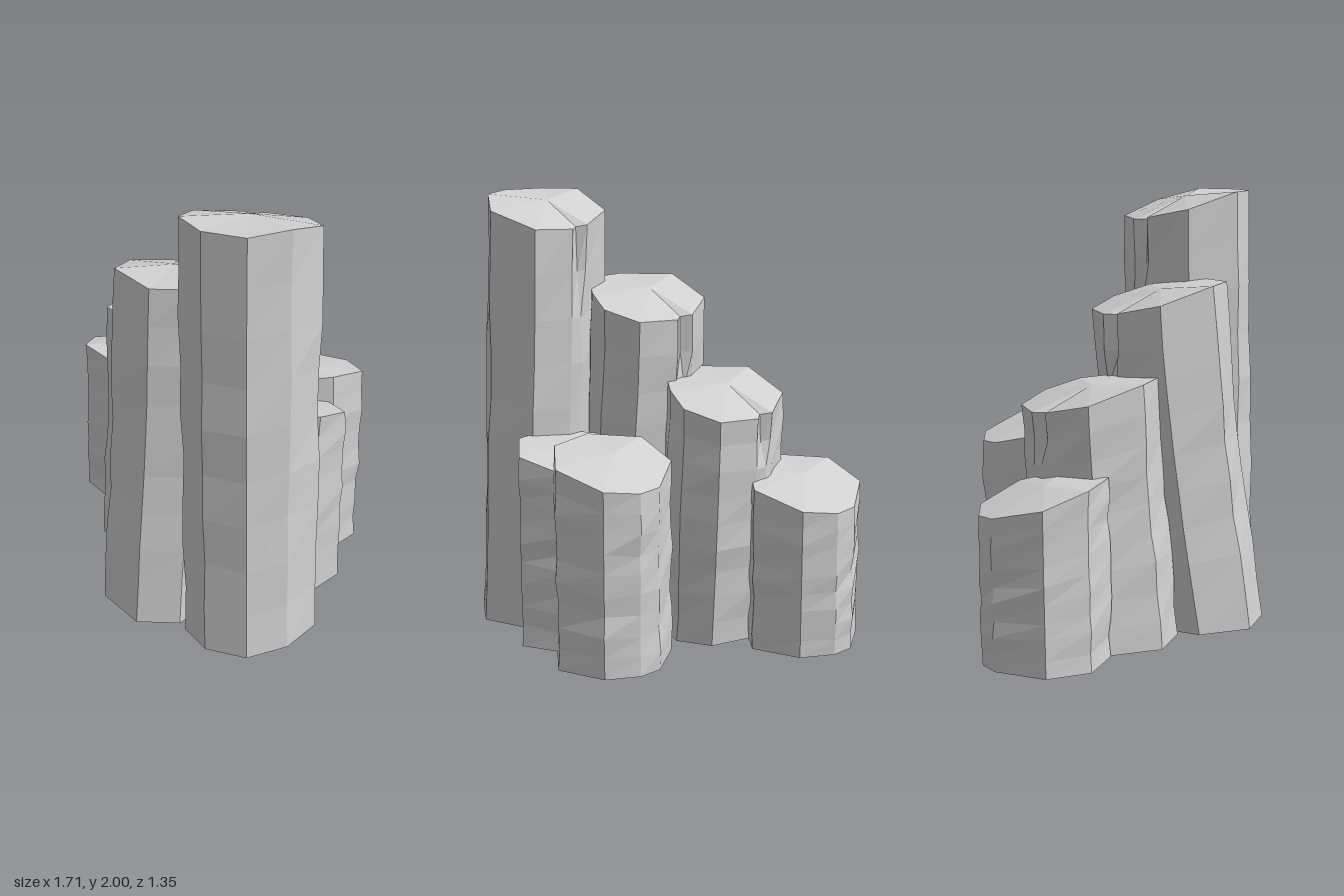
import * as THREE from 'three';

const RINGS = 9;
const FOOT = 0.012;
const NOTCH = 8; // ninth corner, where present, is a chipped groove

// Three cross-sections, x and z pairs around the centre, clockwise from above
const evenOutline = [0.07, -0.3, 0.26, -0.155, 0.265, 0.05, 0.18, 0.23, 0, 0.3, -0.16, 0.25,
  -0.27, 0.03, -0.17, -0.17, -0.15, -0.21, -0.1, -0.24];
const wideOutline = [0.08, -0.325, 0.23, -0.24, 0.27, -0.08, 0.26, 0.175, 0.105, 0.295, -0.14, 0.245,
  -0.26, 0.02, -0.175, -0.18, -0.15, -0.22, -0.1, -0.25];
const stubbyOutline = [0.07, -0.29, 0.26, -0.15, 0.25, 0.06, 0.09, 0.265, -0.15, 0.21, -0.26, 0.03,
  -0.18, -0.2, -0.09, -0.27];

// Small repeatable noise in -1..1
const noise = (a, b, seed) => {
  const s = Math.sin(a * 127.1 + b * 311.7 + seed * 74.7) * 43758.5453;
  return (s - Math.floor(s)) * 2 - 1;
};

// The top is level at the front right and falls away to the back left
const topDrop = (x, z) => 0.32 * Math.max(0, 0.15 - 0.45 * x - 0.9 * z);

function columnGeometry(outline, { x: cx, z: cz, height, depth = 1, footX = 0, footZ = 0, seed }) {
  const n = outline.length / 2;
  const positions = [];
  const indices = [];

  // Stacked rings from foot to top, leaning towards the foot and worn a little unevenly
  for (let k = 0; k <= RINGS; k++) {
    const t = k / RINGS;
    const lean = Math.pow(1 - t, 1.3);
    const wear = k === 0 || k === RINGS ? 0 : 0.009;
    for (let i = 0; i < n; i++) {
      const x = outline[2 * i];
      const z = outline[2 * i + 1] * depth;
      const chip = i === NOTCH ? 0.055 * THREE.MathUtils.smoothstep(t, 0.7, 0.95) : 0;
      const scale = 1 + (wear * noise(i, k, seed) - chip) / Math.hypot(x, z);
      const y = THREE.MathUtils.lerp(FOOT, height - topDrop(x, z), t) + wear * noise(i + 20, k, seed);
      positions.push(cx + x * scale + footX * lean, y, cz + z * scale + footZ * lean);
    }
  }
  for (let k = 0; k < RINGS; k++) {
    for (let i = 0; i < n; i++) {
      const a = k * n + i;
      const b = k * n + (i + 1) % n;
      indices.push(a + n, b + n, b, a + n, b, a);
    }
  }

  // Top and underside as fans around a centre
  const top = positions.length / 3;
  positions.push(cx, height - 0.025, cz, cx + footX, 0, cz + footZ);
  for (let i = 0; i < n; i++) {
    const j = (i + 1) % n;
    indices.push(top, RINGS * n + j, RINGS * n + i, top + 1, i, j);
  }

  const geometry = new THREE.BufferGeometry();
  geometry.setAttribute('position', new THREE.Float32BufferAttribute(positions, 3));
  geometry.setIndex(indices);
  const faceted = geometry.toNonIndexed();
  faceted.computeVertexNormals();
  return faceted;
}

export function createModel() {
  const group = new THREE.Group();
  group.name = 'rockColumns';
  const stone = new THREE.MeshStandardMaterial({ color: 0xd2d2d2 });
  stone.name = 'greyStone';

  const addColumn = (name, outline, options) => {
    const mesh = new THREE.Mesh(columnGeometry(outline, options), stone);
    mesh.name = name;
    group.add(mesh);
  };

  // Stepped diagonal row, tallest at the front left
  addColumn('tallestColumn', evenOutline, { x: 0.52, z: 0.28, height: 2, footX: 0.065, footZ: 0.04, seed: 1 });
  addColumn('secondColumn', wideOutline, { x: 0.06, z: 0.2, height: 1.6, footX: 0.06, footZ: 0.18, seed: 2 });
  addColumn('thirdColumn', wideOutline, { x: -0.26, z: -0.08, height: 1.2, footX: 0.02, footZ: 0.085, seed: 3 });
  addColumn('shortColumn', stubbyOutline, { x: -0.595, z: -0.24, height: 0.81, footZ: 0.01, seed: 4 });

  // Pair behind the row
  addColumn('backColumn', stubbyOutline, { x: 0.29, z: -0.38, height: 0.97, seed: 5 });
  addColumn('middleColumn', stubbyOutline, { x: 0.43, z: -0.09, height: 0.94, depth: 0.8, seed: 6 });
  return group;
}
